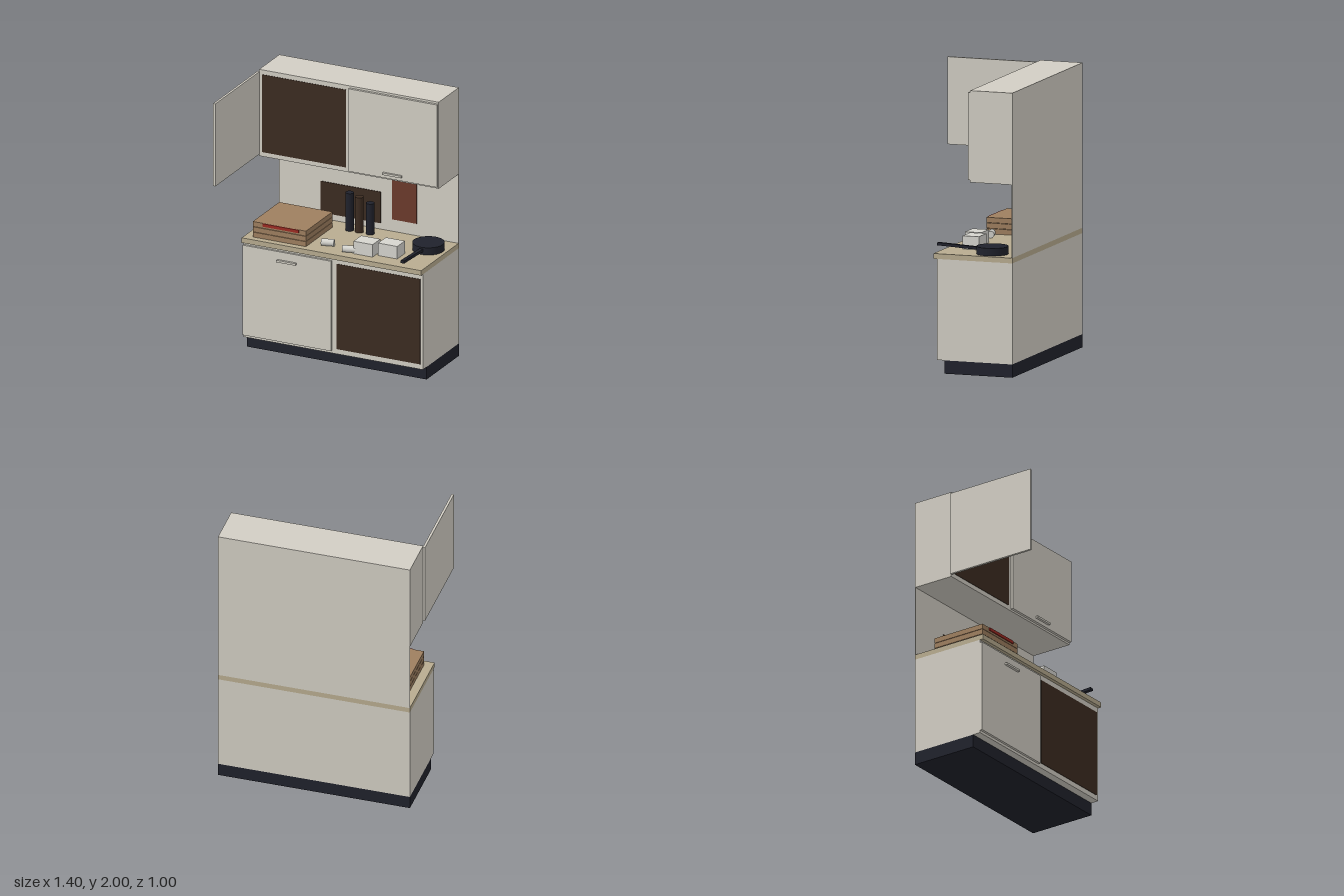
import * as THREE from 'three';

function mat(name, color) {
  const m = new THREE.MeshStandardMaterial({ color });
  m.name = name;
  return m;
}

export function createModel() {
  const model = new THREE.Group();
  model.name = 'kitchenette';

  const cabinet = mat('cabinetGrey', 0xd2cec4);
  const counter = mat('counterBeige', 0xb8ac90);
  const card = mat('cardboardBrown', 0x9e7f5f);
  const dark = mat('darkBrown', 0x3c2c21);
  const black = mat('blueBlack', 0x20222c);
  const rust = mat('rustRed', 0x6c3a2c);
  const red = mat('labelRed', 0x9c2a22);
  const pale = mat('paleWhite', 0xd6d5cf);

  // box from its limits on each axis
  function box(name, m, x0, x1, y0, y1, z0, z1) {
    const mesh = new THREE.Mesh(new THREE.BoxGeometry(x1 - x0, y1 - y0, z1 - z0), m);
    mesh.position.set((x0 + x1) / 2, (y0 + y1) / 2, (z0 + z1) / 2);
    mesh.name = name;
    model.add(mesh);
    return mesh;
  }
  function cylinder(name, m, r, h, x, y, z) {
    const mesh = new THREE.Mesh(new THREE.CylinderGeometry(r, r, h, 24), m);
    mesh.position.set(x, y, z);
    mesh.name = name;
    model.add(mesh);
    return mesh;
  }

  const L = -0.692, R = 0.7, back = -0.5, top = 0.84;

  // base unit
  box('plinth', black, L, R, 0, 0.093, back, 0);
  box('baseCabinet', cabinet, L, R, 0.093, 0.803, back, 0.058);
  box('countertop', counter, L, R, 0.803, top, back, 0.084);
  box('baseDoor', cabinet, -0.69, -0.004, 0.113, 0.783, 0.058, 0.075);
  box('baseHandle', cabinet, -0.42, -0.27, 0.709, 0.724, 0.075, 0.093);
  box('baseOpening', dark, 0.03, 0.68, 0.13, 0.765, 0.058, 0.061);

  // wall unit, with one door swung open
  box('backPanel', cabinet, L, R, top, 1.355, back, -0.495);
  box('wallCabinet', cabinet, L, R, 1.355, 2, back, -0.188);
  box('wallOpening', dark, -0.67, -0.018, 1.388, 1.966, -0.188, -0.185);
  box('closedDoor', cabinet, 0.01, 0.696, 1.37, 1.985, -0.188, -0.169);
  box('wallHandle', cabinet, 0.28, 0.426, 1.397, 1.412, -0.169, -0.152);
  box('openDoor', cabinet, -0.705, -0.688, 1.37, 1.985, -0.186, 0.5);

  // flat patches on the back panel
  box('darkPatch', dark, -0.367, 0.097, 0.885, 1.118, -0.495, -0.49);
  box('rustPatch', rust, 0.188, 0.378, 0.93, 1.26, -0.495, -0.49);

  // stack of flat boxes with a label
  for (let i = 0; i < 3; i++) {
    const y = top + i * 0.0395;
    box('flatBox' + (i + 1), card, -0.63, -0.218, y, y + 0.0365, -0.375, 0.035);
  }
  box('boxLabel', red, -0.553, -0.272, 0.933, 0.955, 0.035, 0.042);

  // bottles
  [[-0.09, 0.28, black], [-0.014, 0.262, dark], [0.07, 0.23, black]].forEach(([x, h, m], i) => {
    cylinder('bottle' + (i + 1), m, 0.03, h, x, top + h / 2, -0.386);
  });

  // cans lying on their sides
  [[-0.09, -0.05], [0.097, -0.004]].forEach(([x, z], i) => {
    const can = cylinder('can' + (i + 1), pale, 0.025, 0.092, x, top + 0.025, z);
    can.rotation.set(0, 0.25, Math.PI / 2);
  });

  // small cartons
  box('carton1', pale, 0.136, 0.284, top, 0.933, -0.115, 0.005);
  box('carton2', pale, 0.304, 0.452, top, 0.933, -0.16, -0.04);

  // frying pan
  cylinder('pan', black, 0.112, 0.054, 0.563, top + 0.027, -0.302);
  const handle = box('panHandle', black, 0.55, 0.577, 0.87, 0.89, -0.2, 0.102);
  handle.rotation.x = -0.05;

  return model;
}
